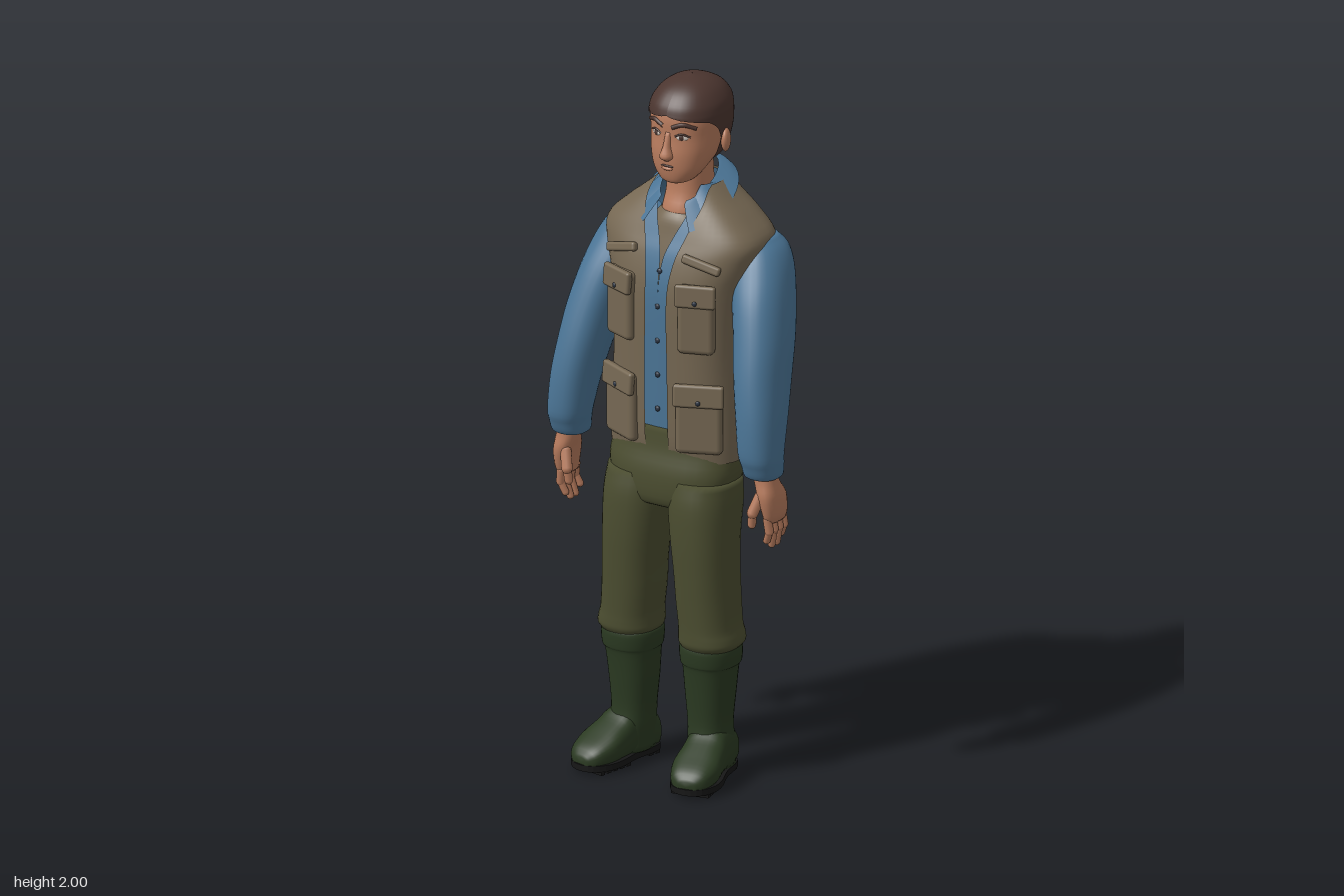
import * as THREE from 'three';
import { RoundedBoxGeometry } from 'three/addons/geometries/RoundedBoxGeometry.js';

const mat = (name, color, open) => {
  const m = new THREE.MeshStandardMaterial({ color });
  m.name = name;
  if (open) m.side = THREE.DoubleSide;
  return m;
};

// Skin through horizontal rings listed bottom up: [y, x, halfWidth, zBack, zFront, squareness, frontGap, tilt]
function loft(rings, seg = 32, sub = 4) {
  const rows = rings.map(r => [...r, ...[0, 0, 0, 0, 0, 2.3, 0, 0].slice(r.length)]);
  const open = rows.some(r => r[6] > 0);
  const spline = new THREE.CubicInterpolant(rows.map((_, i) => i), new Float32Array(rows.flat()), 8);
  const pos = [], idx = [], n = (rows.length - 1) * sub, w = seg + 1;
  for (let j = 0; j <= n; j++) {
    const [y, cx, rx, zb, zf, e, gap, tilt] = spline.evaluate(j / sub);
    const cz = (zb + zf) / 2, rz = (zf - zb) / 2;
    const a0 = Math.asin(Math.pow(THREE.MathUtils.clamp(gap / rx, 0, 1), e / 2));
    for (let i = 0; i < w; i++) {
      const a = a0 + (i / seg) * 2 * (Math.PI - a0), s = Math.sin(a), c = Math.cos(a);
      const z = rz * Math.sign(c) * Math.abs(c) ** (2 / e);
      pos.push(cx + rx * Math.sign(s) * Math.abs(s) ** (2 / e), y + tilt * z, cz + z);
    }
  }
  const v = (j, i) => j * w + (open ? i : i % seg);
  for (let j = 0; j < n; j++) for (let i = 0; i < seg; i++) {
    idx.push(v(j, i), v(j, i + 1), v(j + 1, i + 1), v(j, i), v(j + 1, i + 1), v(j + 1, i));
  }
  if (!open) [0, n].forEach(j => {
    const r = rows[j ? rows.length - 1 : 0], k = pos.length / 3;
    pos.push(r[1], r[0], (r[3] + r[4]) / 2);
    for (let i = 0; i < seg; i++) idx.push(k, v(j, j ? i : i + 1), v(j, j ? i + 1 : i));
  });
  const g = new THREE.BufferGeometry();
  g.setAttribute('position', new THREE.Float32BufferAttribute(pos, 3));
  g.setIndex(idx);
  g.computeVertexNormals();
  return g;
}

export function createModel() {
  const M = {
    skin: mat('skin', 0xb87c5e), hair: mat('hair', 0x4b352f, true), shirt: mat('shirt blue', 0x4b7596, true),
    vest: mat('vest khaki', 0x766853, true), pants: mat('trouser olive', 0x4b4d30), boot: mat('boot green', 0x2b3a22),
    sole: mat('sole black', 0x161616), white: mat('eye white', 0xd8cfc6), button: mat('button dark', 0x2b3442),
  };
  const model = new THREE.Group();
  const add = (name, geo, m, p = [0, 0, 0], rot = [0, 0, 0], parent = model) => {
    const mesh = new THREE.Mesh(geo, m);
    mesh.name = name;
    mesh.position.set(...p);
    mesh.rotation.set(...rot);
    parent.add(mesh);
    return mesh;
  };
  const box = (x, y, z, r) => new RoundedBoxGeometry(x, y, z, 3, r);
  const ball = (x, y, z) => new THREE.SphereGeometry(1, 16, 12).scale(x, y, z);
  const tube = (pts, r) => new THREE.TubeGeometry(
    new THREE.CatmullRomCurve3(pts.map(p => new THREE.Vector3(...p))), 12, r, 8);
  const limb = (name, a, b, r, m) => {
    const p = new THREE.Vector3(...a), q = new THREE.Vector3(...b), d = q.clone().sub(p);
    const mesh = add(name, new THREE.CapsuleGeometry(r, d.length(), 4, 10), m, p.add(q).multiplyScalar(0.5).toArray());
    mesh.quaternion.setFromUnitVectors(new THREE.Vector3(0, 1, 0), d.normalize());
  };

  // Head, hair and neck
  add('head', loft([
    [1.712, 0, 0.025, -0.02, 0.028], [1.722, 0, 0.048, -0.055, 0.038], [1.755, 0, 0.074, -0.09, 0.046],
    [1.80, 0, 0.091, -0.15, 0.049], [1.85, 0, 0.098, -0.175, 0.044], [1.90, 0, 0.101, -0.185, 0.044],
    [1.94, 0, 0.09, -0.18, 0.03], [1.975, 0, 0.06, -0.14, -0.01], [1.985, 0, 0.01, -0.08, -0.06]]), M.skin);
  add('hair', loft([
    [1.775, 0, 0.082, -0.155, 0.02, 2.2, 0.0815], [1.80, 0, 0.096, -0.178, 0.035, 2.2, 0.0955],
    [1.85, 0, 0.106, -0.196, 0.05, 2.2, 0.1055], [1.885, 0, 0.108, -0.2, 0.053, 2.2, 0.103],
    [1.90, 0, 0.108, -0.2, 0.053, 2.2, 0.085], [1.915, 0, 0.107, -0.199, 0.05, 2.2, 0],
    [1.94, 0, 0.1, -0.194, 0.04, 2.2, 0], [1.97, 0, 0.078, -0.17, 0.012, 2.2, 0],
    [1.99, 0, 0.045, -0.128, -0.028, 2.2, 0], [2.0, 0, 0.001, -0.08, -0.078, 2.2, 0]], 40), M.hair);
  add('neck', loft([[1.55, 0, 0.075, -0.14, 0.015], [1.62, 0, 0.066, -0.14, 0.018], [1.68, 0, 0.06, -0.14, 0.0],
    [1.78, 0, 0.06, -0.13, -0.005]]), M.skin);
  add('nose', loft([[1.783, 0, 0.008, 0.03, 0.054], [1.797, 0, 0.02, 0.02, 0.07], [1.825, 0, 0.012, 0.02, 0.06],
    [1.865, 0, 0.009, 0.02, 0.047]], 16), M.skin);
  add('mouthLine', tube([[-0.026, 1.767, 0.041], [0, 1.768, 0.049], [0.026, 1.767, 0.041]], 0.003), M.hair);
  add('lowerLip', ball(0.018, 0.006, 0.008), M.skin, [0, 1.76, 0.045]);

  // Torso rings shared by vest and shirt
  const torso = [
    [0.93, 0.203, -0.145, 0.09, 0.037], [1.0, 0.202, -0.165, 0.1, 0.037], [1.2, 0.195, -0.2, 0.104, 0.036],
    [1.4, 0.203, -0.22, 0.104, 0.034], [1.5, 0.232, -0.222, 0.086, 0.045], [1.56, 0.242, -0.214, 0.062, 0.062],
    [1.615, 0.19, -0.203, 0.038, 0.08], [1.66, 0.135, -0.188, 0.016, 0.09], [1.70, 0.09, -0.172, -0.005, 0.085]];
  add('vest', loft(torso.map(([y, rx, b, f, g]) => [y, 0, rx, b, f, 2.8, g]), 48), M.vest);
  const vNeck = [0, 0, 0, 0, 0.004, 0.022, 0.045, 0.055, 0.06];
  add('shirtBody', loft(torso.map(([y, rx, b, f], i) =>
    [Math.max(y, 0.99), 0, rx - 0.012, b + 0.012, f - 0.01, 2.8, vNeck[i]]).slice(1), 48), M.shirt);
  add('undershirt', loft([[1.42, 0, 0.14, -0.15, 0.07], [1.5, 0, 0.14, -0.15, 0.055], [1.56, 0, 0.12, -0.15, 0.04],
    [1.6, 0, 0.085, -0.14, 0.03], [1.625, 0, 0.06, -0.12, 0.015]]), M.vest);
  add('collar', loft([[1.652, 0, 0.135, -0.192, 0.07, 2.2, 0.075, -0.55], [1.675, 0, 0.105, -0.182, 0.055, 2.2, 0.058, -0.52],
    [1.695, 0, 0.078, -0.166, 0.036, 2.2, 0.042, -0.48], [1.70, 0, 0.07, -0.155, 0.026, 2.2, 0.04, -0.48]]), M.shirt);
  [1.47, 1.37, 1.27, 1.17, 1.07].forEach(y => add('shirtButton', ball(0.008, 0.008, 0.005), M.button,
    [0, y, y > 1.4 ? 0.083 : 0.094]));

  // Trouser seat
  add('trouserSeat', loft([[0.775, 0, 0.09, -0.05, 0.07, 2.6], [0.80, 0, 0.16, -0.085, 0.108, 2.6], [0.88, 0, 0.195, -0.118, 0.112, 2.6],
    [0.95, 0, 0.192, -0.133, 0.097, 2.6], [1.015, 0, 0.185, -0.145, 0.091, 2.6]]), M.pants);

  for (const s of [1, -1]) {
    const side = s > 0 ? 'left' : 'right';
    const m = ([x, ...r]) => [x * s, ...r];
    const sided = rings => rings.map(([y, x, ...r]) => [y, x * s, ...r]);

    // Face details
    add(side + 'Ear', ball(0.013, 0.034, 0.023), M.skin, m([0.106, 1.825, -0.085]), [0, s * 0.3, 0]);
    add(side + 'Brow', tube([[0.015, 1.882, 0.045], [0.045, 1.893, 0.037], [0.075, 1.882, 0.013]].map(m), 0.006), M.hair);
    add(side + 'Eye', ball(0.018, 0.009, 0.005), M.white, m([0.042, 1.855, 0.034]), [0, s * 0.4, 0]);
    add(side + 'Iris', ball(0.008, 0.008, 0.004), M.hair, m([0.041, 1.855, 0.037]), [0, s * 0.4, 0]);
    add(side + 'Eyelid', tube([[0.022, 1.857, 0.041], [0.042, 1.865, 0.038], [0.062, 1.857, 0.024]].map(m), 0.003), M.hair);

    // Sleeve
    add(side + 'Sleeve', loft(sided([
      [0.925, 0.315, 0.035, 0.005, 0.08], [0.93, 0.315, 0.05, -0.01, 0.097], [0.96, 0.315, 0.054, -0.013, 0.11],
      [1.0, 0.312, 0.058, -0.017, 0.121], [1.1, 0.303, 0.063, -0.05, 0.118], [1.2, 0.288, 0.068, -0.088, 0.102],
      [1.3, 0.272, 0.073, -0.125, 0.075], [1.4, 0.248, 0.077, -0.16, 0.04], [1.48, 0.222, 0.08, -0.183, 0.0],
      [1.53, 0.205, 0.07, -0.187, -0.03], [1.56, 0.19, 0.05, -0.17, -0.06]])), M.shirt);

    // Hand
    add(side + 'Palm', loft(sided([[0.795, 0.338, 0.017, -0.02, 0.065], [0.82, 0.34, 0.024, -0.022, 0.075],
      [0.87, 0.335, 0.03, -0.018, 0.085], [0.91, 0.325, 0.032, 0.005, 0.08], [0.95, 0.318, 0.032, 0.01, 0.078]]), 20), M.skin);
    [[0.06, 0.74], [0.036, 0.722], [0.011, 0.722], [-0.012, 0.742]].forEach(([z, tip]) => {
      limb(side + 'Finger', m([0.338, 0.805, z]), m([0.342, 0.77, z - 0.003]), 0.0125, M.skin);
      limb(side + 'Fingertip', m([0.342, 0.77, z - 0.003]), m([0.33, tip, z - 0.009]), 0.0105, M.skin);
    });
    limb(side + 'Thumb', m([0.318, 0.87, 0.068]), m([0.304, 0.825, 0.083]), 0.016, M.skin);
    limb(side + 'ThumbTip', m([0.304, 0.825, 0.083]), m([0.3, 0.79, 0.08]), 0.012, M.skin);

    // Vest pockets: upper welt, chest pocket, hip pocket
    add(side + 'Welt', box(0.115, 0.026, 0.02, 0.008), M.vest, m([0.13, 1.512, 0.074]), [-0.25, s * 0.28, -s * 0.2]);
    for (const [name, x, y, z, w, h, turn] of [
      ['ChestPocket', 0.122, 1.355, 0.086, 0.105, 0.2, 0.36], ['HipPocket', 0.125, 1.06, 0.076, 0.132, 0.2, 0.42]]) {
      const pocket = new THREE.Group();
      pocket.name = side + name;
      pocket.position.set(x * s, y, z);
      pocket.rotation.y = turn * s;
      model.add(pocket);
      add('pouch', box(w, h, 0.036, 0.016), M.vest, [0, 0, 0], [0, 0, 0], pocket);
      add('flap', box(w + 0.01, 0.065, 0.02, 0.008), M.vest, [0, h / 2 - 0.028, 0.015], [-0.08, 0, 0], pocket);
      add('snap', ball(0.007, 0.007, 0.004), M.button, [0, h / 2 - 0.045, 0.026], [0, 0, 0], pocket);
    }

    // Trouser leg
    add(side + 'TrouserLeg', loft(sided([
      [0.385, 0.13, 0.078, -0.06, 0.105], [0.4, 0.132, 0.088, -0.068, 0.113], [0.42, 0.131, 0.087, -0.07, 0.114],
      [0.45, 0.127, 0.083, -0.068, 0.114], [0.52, 0.121, 0.084, -0.07, 0.117], [0.6, 0.117, 0.085, -0.07, 0.121],
      [0.7, 0.111, 0.09, -0.076, 0.125], [0.8, 0.105, 0.096, -0.095, 0.123], [0.87, 0.1, 0.094, -0.1, 0.11]])), M.pants);

    // Boot with foot turned out
    add(side + 'BootShaft', loft(sided([
      [0.03, 0.13, 0.055, -0.055, 0.085], [0.1, 0.128, 0.059, -0.05, 0.09], [0.16, 0.125, 0.059, -0.045, 0.084],
      [0.25, 0.125, 0.067, -0.052, 0.09], [0.325, 0.127, 0.074, -0.056, 0.098], [0.34, 0.128, 0.081, -0.061, 0.104],
      [0.385, 0.128, 0.083, -0.063, 0.107], [0.395, 0.128, 0.07, -0.05, 0.095]])), M.boot);
    const foot = new THREE.Group();
    foot.name = side + 'Foot';
    foot.position.x = 0.13 * s;
    foot.rotation.y = 0.2 * s;
    model.add(foot);
    add('bootFoot', loft([
      [-0.06, 0, 0.025, -0.08, -0.02, 2.6], [-0.045, 0, 0.05, -0.12, -0.015, 2.6], [0, 0, 0.057, -0.15, -0.015, 2.6],
      [0.06, 0, 0.06, -0.152, -0.015, 2.6], [0.1, 0, 0.064, -0.128, -0.015, 2.6], [0.15, 0, 0.068, -0.102, -0.015, 2.6],
      [0.2, 0, 0.053, -0.075, -0.015, 2.6], [0.222, 0, 0.025, -0.05, -0.02, 2.6]]).rotateX(Math.PI / 2), M.boot, [0, 0, 0], [0, 0, 0], foot);
    const half = [[0, -0.064], [0.042, -0.05], [0.054, -0.01], [0.054, 0.05], [0.068, 0.12], [0.066, 0.17], [0.042, 0.212], [0, 0.227]];
    const outline = [...half, ...half.slice(1, -1).reverse().map(([x, z]) => [-x, z])].map(([x, z]) => new THREE.Vector2(x, -z));
    const shape = new THREE.Shape(new THREE.SplineCurve([...outline, outline[0]]).getPoints(40));
    add('sole', new THREE.ExtrudeGeometry(shape, { depth: 0.018, bevelEnabled: false }).rotateX(-Math.PI / 2),
      M.sole, [0, 0.012, 0], [0, 0, 0], foot);
    [-0.04, -0.015, 0.085, 0.11, 0.135, 0.16, 0.185].forEach(z =>
      add('tread', new THREE.BoxGeometry(z < 0 ? 0.085 : 0.11, 0.014, 0.015), M.sole, [0, 0.007, z], [0, 0, 0], foot));
  }
  return model;
}
